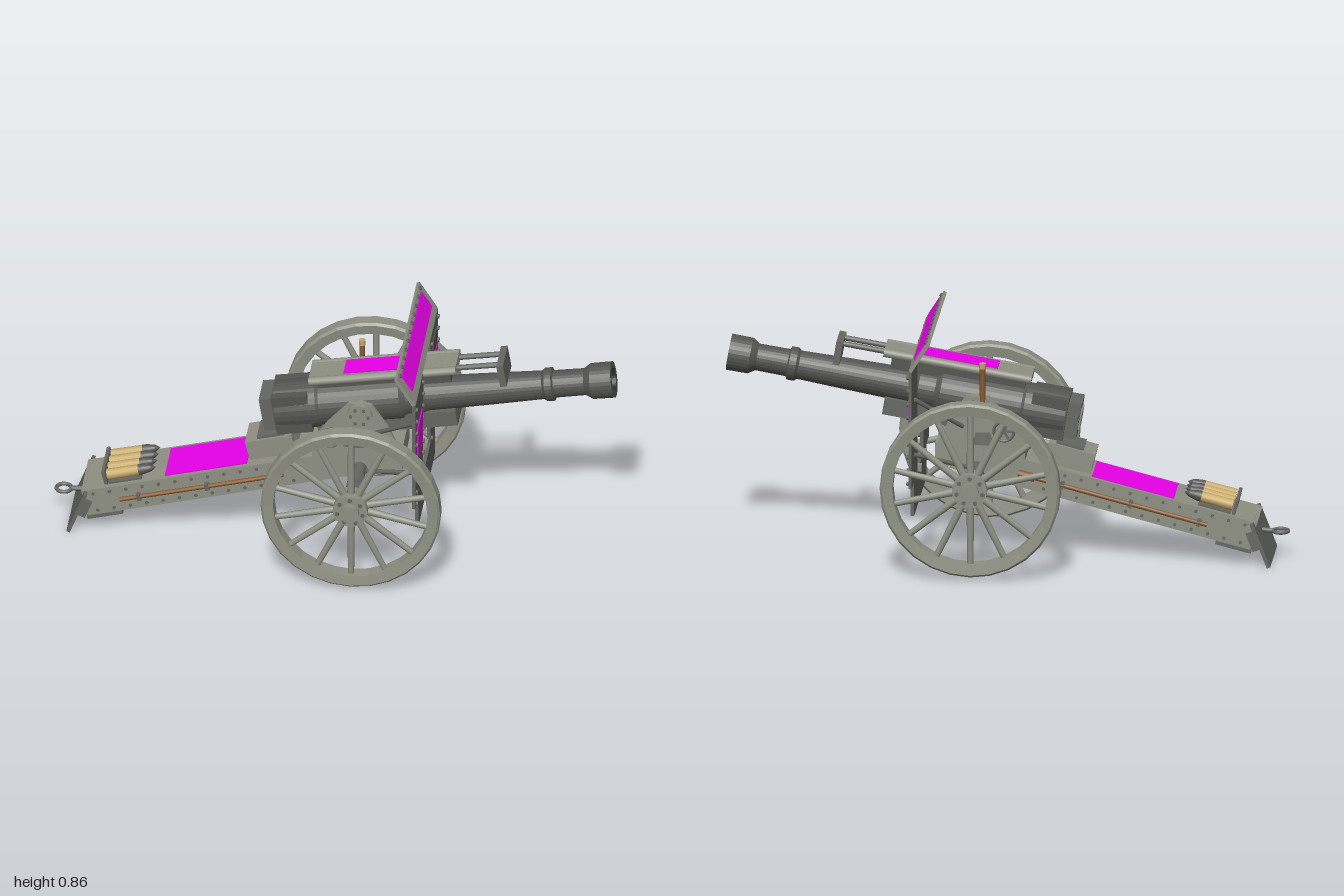
import * as THREE from 'three';

const paint = (name, color) => {
  const m = new THREE.MeshStandardMaterial({ color });
  m.name = name;
  return m;
};

export function createModel() {
  const light = paint('pale olive grey', 0x8f9083);
  const mid = paint('shield grey', 0x666762);
  const dark = paint('gun metal', 0x545552);
  const black = paint('bore black', 0x2b2c2a);
  const brass = paint('brass', 0xc4a767);
  const wood = paint('wood', 0x85592f);
  const magenta = paint('magenta', 0xff00ff);

  const root = new THREE.Group();
  root.name = 'fieldGun';
  const group = (name, x = 0, y = 0, z = 0, tilt = 0, parent = root) => {
    const g = new THREE.Group();
    g.name = name;
    g.position.set(x, y, z);
    g.rotation.z = tilt;
    parent.add(g);
    return g;
  };
  const add = (parent, name, geo, mat, x = 0, y = 0, z = 0) => {
    const m = new THREE.Mesh(geo, mat);
    m.name = name;
    m.position.set(x, y, z);
    parent.add(m);
    return m;
  };
  const box = (p, name, mat, w, h, d, x, y, z) =>
    add(p, name, new THREE.BoxGeometry(w, h, d), mat, x, y, z);
  // Cylinder between two points
  const rod = (p, name, mat, a, b, r0, r1 = r0, sides = 12) => {
    const A = new THREE.Vector3(...a), B = new THREE.Vector3(...b);
    const dir = B.clone().sub(A);
    const m = add(p, name, new THREE.CylinderGeometry(r1, r0, dir.length(), sides), mat);
    m.position.copy(A).add(B).multiplyScalar(0.5);
    m.quaternion.setFromUnitVectors(new THREE.Vector3(0, 1, 0), dir.normalize());
    return m;
  };
  // Small bolt head facing along x or z
  const bolt = (p, x, y, z, axis, r = 0.008) => rod(p, 'bolt', light === p.boltMat ? light : mid,
    axis === 'x' ? [x - 0.005, y, z] : [x, y, z - 0.005],
    axis === 'x' ? [x + 0.005, y, z] : [x, y, z + 0.005], r, r, 6);
  // Lathe turned so that its axis lies along x; points are [radius, x], running towards +x
  const turned = (p, name, mat, pts) => {
    const m = add(p, name, new THREE.LatheGeometry(pts.map(q => new THREE.Vector2(...q)), 28), mat);
    m.geometry.computeVertexNormals();
    m.geometry = m.geometry.toNonIndexed();
    m.geometry.computeVertexNormals();
    m.rotation.z = -Math.PI / 2;
    return m;
  };

  // Wheels and axle
  const wheelX = 0.1, wheelY = 0.345;
  for (const s of [1, -1]) {
    const w = group(s > 0 ? 'nearWheel' : 'farWheel', wheelX, wheelY, s * 0.367);
    const section = [[0.275, -0.025], [0.312, -0.03], [0.32, -0.022], [0.32, 0.022],
      [0.312, 0.03], [0.275, 0.025], [0.275, -0.025]].map(q => new THREE.Vector2(...q));
    const rimGeo = new THREE.LatheGeometry(section, 28).toNonIndexed();
    rimGeo.computeVertexNormals();
    add(w, 'rim', rimGeo, light).rotation.x = Math.PI / 2;
    for (let i = 0; i < 14; i++) {
      const a = (i + 0.5) * Math.PI * 2 / 14, c = Math.cos(a), d = Math.sin(a);
      rod(w, 'spoke', light, [0.03 * c, 0.03 * d, 0], [0.28 * c, 0.28 * d, 0], 0.014, 0.011, 8);
      if (i % 2) bolt(w, 0.047 * c, 0.047 * d, s * 0.036, 'z');
    }
    rod(w, 'hub', light, [0, 0, -0.035], [0, 0, 0.035], 0.062, 0.062, 20);
    rod(w, 'hubCap', light, [0, 0, s * 0.03], [0, 0, s * 0.055], 0.034, 0.034, 16);
    rod(root, 'axleCollar', mid, [wheelX, wheelY, s * 0.19], [wheelX, wheelY, s * 0.24], 0.034);
    rod(root, 'axleSleeve', mid, [wheelX, wheelY, s * 0.29], [wheelX, wheelY, s * 0.335], 0.034);
    // Struts from the axle to the shield
    rod(root, 'shieldStay', mid, [0.13, 0.36, s * 0.15], [0.31, 0.43, s * 0.25], 0.008);
    rod(root, 'upperStay', mid, [0.15, 0.5, s * 0.12], [0.31, 0.63, s * 0.24], 0.008);
  }
  rod(root, 'axle', mid, [wheelX, wheelY, -0.4], [wheelX, wheelY, 0.4], 0.024);

  // Trail: a channel open underneath
  const trail = group('trail', -0.88, 0.118, 0, 0.25);
  box(trail, 'deck', light, 1.1, 0.01, 0.2, 0.55, 0.046, 0);
  for (const s of [1, -1]) {
    box(trail, 'sidePlate', light, 1.1, 0.102, 0.01, 0.55, 0, s * 0.1);
    box(trail, 'bottomFlange', light, 1.1, 0.008, 0.032, 0.55, -0.047, s * 0.088);
    for (let i = 0; i < 13; i++) {
      bolt(trail, 0.04 + i * 0.06, 0.034, s * 0.106, 'z', 0.006);
      bolt(trail, 0.04 + i * 0.06, -0.034, s * 0.106, 'z', 0.006);
    }
  }
  box(trail, 'tailPlate', mid, 0.01, 0.1, 0.2, 0.005, 0, 0);
  box(trail, 'footPlate', mid, 0.13, 0.012, 0.216, 0.06, -0.058, 0);
  box(trail, 'footWeb', mid, 0.012, 0.04, 0.2, 0.1, -0.04, 0);
  box(trail, 'deckPanel', magenta, 0.3, 0.005, 0.176, 0.457, 0.0535, 0);
  box(trail, 'trailBox', light, 0.17, 0.075, 0.13, 0.7, 0.087, 0);
  box(trail, 'trailBoxLid', mid, 0.1, 0.01, 0.11, 0.71, 0.129, 0);
  rod(trail, 'rammer', wood, [0.17, 0, -0.118], [0.86, 0, -0.118], 0.008);
  rod(trail, 'rammerHead', wood, [0.8, 0, -0.118], [0.86, 0, -0.118], 0.015);
  rod(trail, 'lever', wood, [0.13, 0, 0.115], [0.73, 0, 0.115], 0.008);
  for (const u of [0.2, 0.45, 0.7]) for (const s of [1, -1])
    box(trail, 'toolClip', mid, 0.014, 0.026, 0.022, u, 0, s * 0.114);

  // Ready shells in their rack
  box(trail, 'rackStop', mid, 0.012, 0.055, 0.17, 0.09, 0.075, 0);
  box(trail, 'rackBase', mid, 0.12, 0.008, 0.17, 0.16, 0.054, 0);
  for (let i = 0; i < 4; i++) {
    const z = (i - 1.5) * 0.043;
    rod(trail, 'shellCase', brass, [0.1, 0.08, z], [0.215, 0.08, z], 0.02, 0.019, 14);
    turned(trail, 'shellTip', dark, [[0.0195, 0.215], [0.018, 0.235], [0.012, 0.26], [0, 0.278]])
      .position.set(0, 0.08, z);
  }

  // Spade and towing eye
  const spade = group('spade', -0.905, 0.09, 0, -0.37);
  box(spade, 'spadeBlade', mid, 0.013, 0.168, 0.266, 0, 0, 0);
  for (const s of [1, -1]) box(spade, 'spadeRib', mid, 0.03, 0.07, 0.012, 0.02, 0.02, s * 0.11);
  add(root, 'towingEye', new THREE.TorusGeometry(0.027, 0.007, 8, 20), mid, -0.966, 0.11, 0)
    .rotation.x = Math.PI / 2;
  rod(root, 'eyeShank', mid, [-0.94, 0.11, 0], [-0.87, 0.115, 0], 0.009);

  // Saddle and turntable
  box(root, 'saddle', light, 0.32, 0.085, 0.212, 0.09, 0.388, 0);
  rod(root, 'turntable', mid, [0.08, 0.43, 0], [0.08, 0.475, 0], 0.115, 0.11, 28);
  for (const s of [1, -1]) {
    const cheek = new THREE.Shape([[-0.08, 0.43], [0.24, 0.43], [0.2, 0.52], [0.14, 0.61], [0.06, 0.61],
      [-0.02, 0.52]].map(q => new THREE.Vector2(...q)));
    add(root, 'cheek', new THREE.ExtrudeGeometry(cheek, { depth: 0.014, bevelEnabled: false }),
      light, 0, 0, s * 0.1 - 0.007);
    rod(root, 'trunnionCap', light, [0.1, 0.568, s * 0.085], [0.1, 0.568, s * 0.125], 0.045, 0.045, 20);
    for (let i = 0; i < 6; i++)
      bolt(root, 0.1 + 0.031 * Math.cos(i * 1.047), 0.568 + 0.031 * Math.sin(i * 1.047), s * 0.128, 'z', 0.006);
    rod(root, 'handwheelShaft', mid, [0, 0.5, s * 0.1], [0, 0.5, s * 0.175], 0.007);
    add(root, 'handwheel', new THREE.TorusGeometry(0.036, 0.005, 6, 20), mid, 0, 0.5, s * 0.168);
    for (const a of [0, 1.047, 2.094])
      box(root, 'handwheelSpoke', mid, 0.07, 0.007, 0.007, 0, 0.5, s * 0.168).rotation.z = a;
  }
  rod(root, 'sightPost', wood, [0.08, 0.59, -0.12], [0.08, 0.73, -0.12], 0.01);
  rod(root, 'sightCap', brass, [0.08, 0.715, -0.12], [0.08, 0.735, -0.12], 0.012);

  // Elevating mass: barrel, breech and recoil gear share the gun axis
  const gun = group('gun', 0.1, 0.568, 0, 0.164);
  turned(gun, 'barrel', dark, [[0.088, -0.31], [0.09, -0.16], [0.084, -0.15], [0.084, 0.14], [0.07, 0.16],
    [0.07, 0.22], [0.062, 0.23], [0.056, 0.48], [0.051, 0.65], [0.06, 0.66], [0.06, 0.685], [0.049, 0.69],
    [0.048, 0.8], [0.064, 0.825], [0.065, 0.902], [0.041, 0.902]]);
  turned(gun, 'bore', black, [[0.041, 0.902], [0.041, 0.75], [0, 0.75]]);
  box(gun, 'breechRing', dark, 0.13, 0.15, 0.16, -0.25, 0, 0);
  box(gun, 'breechBlock', mid, 0.05, 0.13, 0.13, -0.335, 0, 0);
  box(gun, 'breechFace', light, 0.008, 0.07, 0.08, -0.362, 0, 0);
  rod(gun, 'breechLever', mid, [-0.35, 0.02, -0.05], [-0.35, 0.02, -0.11], 0.008);
  box(gun, 'cradle', mid, 0.5, 0.06, 0.12, 0.08, -0.075, 0);
  box(gun, 'recoilSlide', light, 0.53, 0.03, 0.11, 0.095, 0.118, 0);
  box(gun, 'slidePanel', magenta, 0.27, 0.005, 0.086, 0.09, 0.1355, 0);
  for (const s of [1, -1]) {
    rod(gun, 'slideRail', light, [-0.17, 0.12, s * 0.057], [0.36, 0.12, s * 0.057], 0.016);
    rod(gun, 'recoilRod', mid, [0.36, 0.118, s * 0.035], [0.51, 0.118, s * 0.035], 0.01);
  }
  box(gun, 'slideSupport', dark, 0.48, 0.05, 0.07, 0.09, 0.085, 0);
  box(gun, 'rodBracket', mid, 0.024, 0.085, 0.136, 0.52, 0.088, 0);

  // Shield
  const shield = group('shield', 0.318, 0, 0);
  for (const s of [1, -1]) {
    box(shield, 'sideShield', mid, 0.012, 0.43, 0.215, 0, 0.54, s * 0.2175);
    box(shield, 'sidePanel', magenta, 0.005, 0.132, 0.132, 0.0085, 0.571, s * 0.215);
    for (let i = 0; i < 9; i++) for (const z of [0.125, 0.311])
      bolt(shield, 0.009, 0.34 + i * 0.049, s * z, 'x');
    box(shield, 'apronLug', light, 0.02, 0.025, 0.025, -0.01, 0.335, s * 0.09);
  }
  box(shield, 'hatch', dark, 0.008, 0.062, 0.086, 0.007, 0.686, -0.217);
  box(shield, 'apron', mid, 0.012, 0.127, 0.474, 0, 0.263, 0);
  const visor = group('visor', -0.032, 0.808, 0, 0.56, shield);
  box(visor, 'visorPlate', light, 0.012, 0.122, 0.65, 0, 0, 0);
  box(visor, 'visorPanel', magenta, 0.005, 0.07, 0.56, 0.0085, 0.008, 0);
  for (let i = 0; i < 11; i++) bolt(visor, 0.008, 0.053, (i - 5) * 0.058, 'x', 0.007);
  return root;
}
